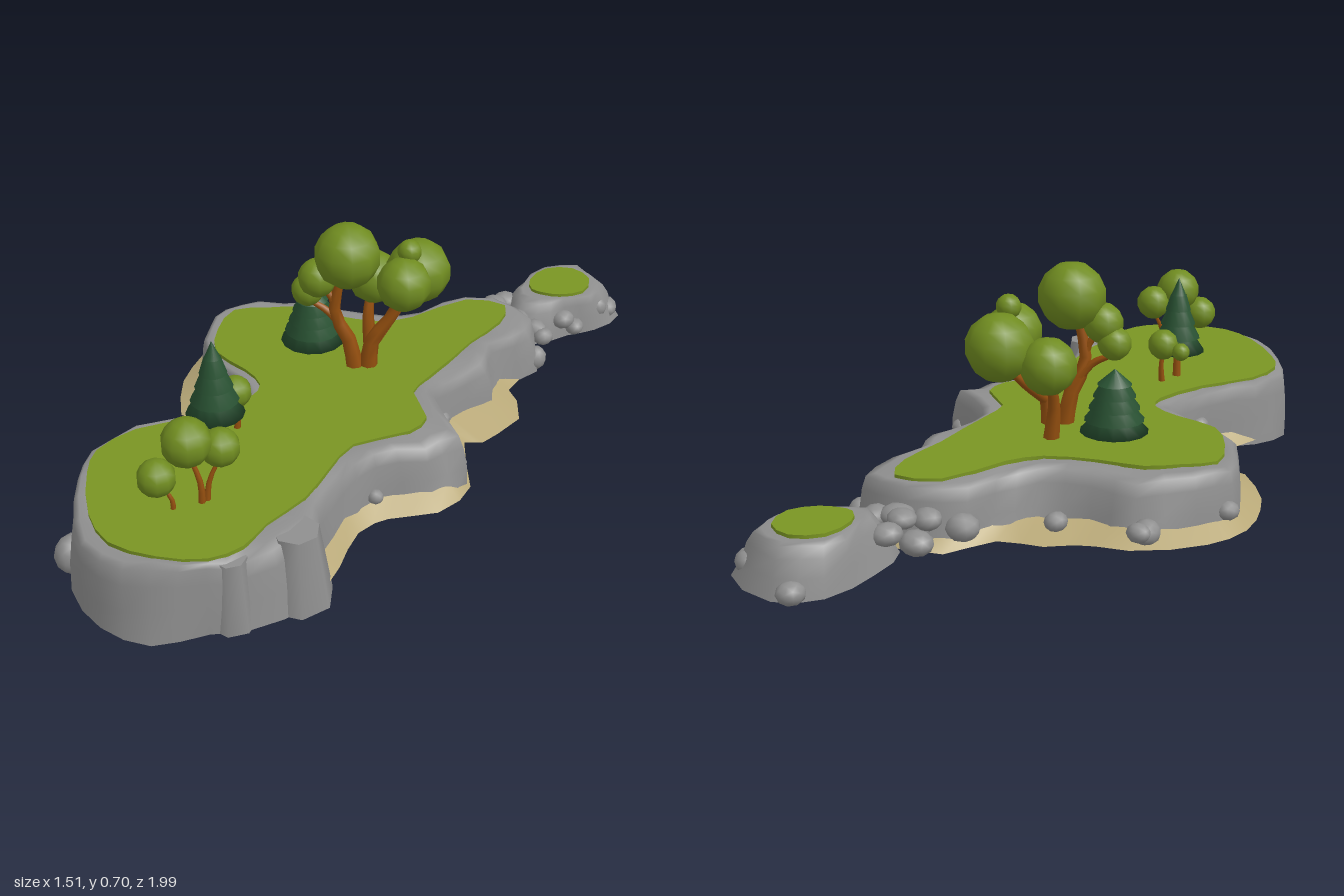
import * as THREE from 'three';

const mat = (name, color, side = THREE.FrontSide) => {
  const m = new THREE.MeshStandardMaterial({ color, side });
  m.name = name;
  return m;
};

// Station rows: grass edge x, z and rock foot x, z, clockwise from above
const MAIN = [
  [-.50, -.37, -.55, -.41], [-.40, -.40, -.45, -.48], [-.30, -.42, -.27, -.54], [-.18, -.385, -.155, -.47],
  [-.02, -.365, -.01, -.475], [.08, -.41, .11, -.53], [.24, -.55, .23, -.62], [.37, -.53, .44, -.56],
  [.36, -.42, .49, -.42], [.28, -.28, .38, -.31], [.23, -.17, .36, -.18], [.17, -.05, .25, -.06],
  [.135, .04, .225, .04], [.19, .17, .32, .24], [.15, .25, .23, .33], [0, .34, .08, .375],
  [-.05, .475, .01, .49], [-.09, .61, -.03, .65], [-.17, .74, -.04, .77], [-.21, .84, -.19, .90],
  [-.29, .905, -.29, .93], [-.42, .915, -.43, .995], [-.56, .875, -.58, .945], [-.645, .765, -.70, .81],
  [-.705, .58, -.74, .61], [-.71, .475, -.745, .43], [-.63, .355, -.645, .295], [-.47, .265, -.50, .23],
  [-.34, .14, -.39, .13], [-.325, .065, -.39, .055], [-.39, -.015, -.47, -.015], [-.50, -.105, -.56, -.13],
  [-.525, -.24, -.575, -.28],
];
// How far the beach reaches past the rock foot at each station
const BEACH = [.04, .06, .05, .10, .11, .03, .03, 0, -.02, .03, .10, .12, .07, .01, .05, .06, .03, .04, 0,
  -.03, -.03, -.03, -.03, -.03, -.03, -.03, 0, .05, .04, .05, .07, .07, .055];
const ISLET = [
  [.49, -.86, .48, -.94], [.58, -.875, .61, -.965], [.64, -.81, .75, -.82], [.62, -.72, .67, -.71],
  [.545, -.685, .58, -.66], [.49, -.69, .46, -.58], [.45, -.71, .34, -.645], [.44, -.775, .38, -.79],
];

const loop = pts => {
  const curve = new THREE.CatmullRomCurve3(pts, true);
  const n = pts.length * 2;
  return Array.from({ length: n }, (_, i) => curve.getPoint(i / n));
};
const edges = st => [
  loop(st.map(s => new THREE.Vector3(s[0], 0, s[1]))),
  loop(st.map(s => new THREE.Vector3(s[2], 0, s[3]))),
];

// Skin over closed rings, listed from the foot upwards
function skin(rings) {
  const n = rings[0].length, pos = [], idx = [];
  rings.forEach(r => r.forEach(p => pos.push(p.x, p.y, p.z)));
  for (let j = 0; j < rings.length - 1; j++) for (let i = 0; i < n; i++) {
    const k = (i + 1) % n, a = j * n + i, b = j * n + k, c = a + n, d = b + n;
    idx.push(a, c, b, b, c, d);
  }
  const g = new THREE.BufferGeometry();
  g.setAttribute('position', new THREE.Float32BufferAttribute(pos, 3));
  g.setIndex(idx);
  g.computeVertexNormals();
  return g;
}

export function createModel() {
  const root = new THREE.Group();
  const M = {
    grass: mat('grass green', 0x7a9523, THREE.DoubleSide),
    leaf: mat('leaf green', 0x708c20),
    pine: mat('pine green', 0x2a5434, THREE.DoubleSide),
    rock: mat('rock grey', 0x8f8f8f, THREE.DoubleSide),
    sand: mat('sand', 0xb8a878, THREE.DoubleSide),
    bark: mat('bark brown', 0x96500f),
  };
  const add = (name, geo, m, parent = root) => {
    const mesh = new THREE.Mesh(geo, m);
    mesh.name = name;
    parent.add(mesh);
    return mesh;
  };

  // Craggy rock bank with a grass lid, open underneath; rim is where the bank turns over
  function island(name, stations, rim, top, foot) {
    const [g, r] = edges(stations);
    const ring = (t, h) => g.map((p, i) => {
      const uneven = t > .3 && t < 1;
      const v = p.clone().lerp(r[i], t + (uneven ? .07 * Math.sin(i * 1.3) + .08 * Math.sin(i * 2.9 + h * 2) : 0));
      v.y = THREE.MathUtils.lerp(foot(v), top(v), h + (uneven ? .04 * Math.sin(i * 1.1) : 0));
      return v;
    });
    add(name + 'Rock', skin([
      ring(1, 0), ring((rim + 2) / 3, .4), ring((2 * rim + 1) / 3, .74), ring(rim, .95), ring(rim * .6, 1), ring(-.12, 1),
    ]), M.rock);
    const lid = new THREE.ShapeGeometry(new THREE.Shape(g.map(p => new THREE.Vector2(p.x, -p.z))));
    lid.rotateX(-Math.PI / 2);
    const a = lid.attributes.position;
    for (let i = 0; i < a.count; i++) a.setY(i, top({ z: a.getZ(i) }) + .01);
    lid.computeVertexNormals();
    add(name + 'Grass', lid, M.grass);
    const lip = dy => g.map(p => p.clone().setY(top(p) + dy));
    add(name + 'GrassLip', skin([lip(-.015), lip(.01)]), M.grass);
  }
  const top = p => .21 + .015 * p.z;
  island('main', MAIN, .64, top, p => .035 * (1 - THREE.MathUtils.smoothstep(p.z - Math.max(0, p.x), .1, .55)));
  island('islet', ISLET, .42, () => .17, () => .037);

  // Beach skirt, closed up where the cliff meets the water
  const [g, r] = edges(MAIN);
  const reach = loop(BEACH.map(b => new THREE.Vector3(b, 0, 0)));
  const out = r.map((p, i) => {
    const n = r.length, t = r[(i + 1) % n].clone().sub(r[(i + n - 1) % n]).normalize();
    return new THREE.Vector3(p.x + t.z * reach[i].x, .036, p.z - t.x * reach[i].x);
  });
  const inner = r.map((p, i) => reach[i].x > 0 ? p.clone().lerp(g[i], .2).setY(.075) : out[i].clone());
  add('beach', skin([out, inner]), M.sand);

  // Boulders: x, y, z, radius, height factor
  const boulders = [
    [-.53, .09, -.42, .035, .8], [-.31, .07, -.54, .045, .8], [-.29, .08, -.57, .035, .8], [-.065, .08, -.51, .035, .8],
    [.21, .08, -.04, .035, .8], [.28, .09, .2, .035, .8], [-.06, .09, .53, .03, .8], [.07, .085, .39, .025, .9],
    [-.71, .07, .74, .055, 1.1], [-.46, .11, .22, .035, .8],
    [.56, .06, -.96, .04, .8], [.70, .075, -.81, .045, .8], [.67, .1, -.76, .035, 1], [.48, .07, -.45, .04, 1],
  ];
  // Causeway stones between the two islands
  boulders.push([.29, .08, -.68, .05, .7], [.36, .12, -.72, .045, .7], [.27, .12, -.61, .045, .7], [.35, .13, -.61, .05, .6],
    [.41, .12, -.6, .045, .7], [.47, .09, -.6, .04, .8], [.5, .08, -.57, .035, .8], [.33, .14, -.66, .045, .6],
    [.56, .1, -.66, .04, .8], [.6, .07, -.67, .035, .8], [.18, .09, -.59, .05, .8], [.41, .08, -.67, .06, .8]);
  boulders.forEach(([x, y, z, rad, h], i) => {
    const b = add('boulder', new THREE.IcosahedronGeometry(rad, 1), M.rock);
    b.position.set(x, y, z);
    b.scale.set(1, h, .9);
    b.rotation.y = i * 1.3;
  });

  // Buttresses leaning on the front cliff: x, z, foot radius, top radius, height, turn
  [[-.09, .745, .1, .065, .225, .3], [-.24, .87, .065, .045, .215, .9]].forEach(([x, z, r0, r1, h, turn]) => {
    const b = add('buttress', new THREE.CylinderGeometry(r1, r0, h, 7), M.rock);
    b.position.set(x, h / 2, z);
    b.rotation.y = turn;
  });

  // Tapered bent limb
  function limb(pts, rad, parent) {
    const curve = new THREE.CatmullRomCurve3(pts.map(p => new THREE.Vector3(...p)));
    const geo = new THREE.TubeGeometry(curve, 6, rad, 7), a = geo.attributes.position, v = new THREE.Vector3();
    for (let i = 0; i < a.count; i++) {
      const t = Math.floor(i / 8) / 6, c = curve.getPointAt(t);
      v.fromBufferAttribute(a, i).sub(c).multiplyScalar(1.25 - .65 * t).add(c);
      a.setXYZ(i, v.x, v.y, v.z);
    }
    add('trunk', geo, M.bark, parent);
  }
  function tree(name, limbs, crowns) {
    const t = new THREE.Group();
    t.name = name;
    root.add(t);
    limbs.forEach(([rad, ...pts]) => limb(pts, rad, t));
    crowns.forEach(([x, y, z, rad]) => add('foliage', new THREE.SphereGeometry(rad, 10, 7), M.leaf, t).position.set(x, y, z));
  }
  tree('tallTree', [
    [.022, [-.06, .2, -.09], [-.08, .31, -.09], [-.12, .4, -.08], [-.10, .53, -.08]],
    [.013, [-.09, .34, -.09], [-.14, .4, -.09], [-.2, .43, -.1]],
    [.013, [-.115, .4, -.08], [-.13, .46, -.08], [-.17, .5, -.08]],
  ], [[-.08, .60, -.08, .1], [-.17, .52, -.08, .06], [-.205, .465, -.1, .05]]);
  tree('wideTree', [
    [.023, [-.02, .2, -.1], [-.01, .3, -.1], [.05, .39, -.11], [.08, .47, -.11]],
    [.02, [-.03, .2, -.22], [-.04, .32, -.23], [-.03, .41, -.26]],
    [.015, [-.01, .29, -.1], [.05, .36, -.17], [.11, .44, -.22]],
  ], [[.085, .5, -.11, .083], [.115, .485, -.23, .1], [.095, .585, -.16, .037], [-.025, .44, -.255, .083]]);
  tree('frontTree', [
    [.009, [-.36, .2, .67], [-.36, .29, .67], [-.39, .39, .67]],
    [.008, [-.35, .2, .66], [-.34, .29, .65], [-.31, .36, .635]],
    [.007, [-.43, .2, .71], [-.43, .26, .71], [-.46, .31, .715]],
  ], [[-.39, .425, .675, .07], [-.31, .39, .635, .055], [-.465, .335, .72, .054]]);
  tree('smallTree', [[.009, [-.345, .2, .305], [-.34, .27, .3], [-.345, .33, .3]]],
    [[-.345, .345, .3, .048], [-.4, .33, .27, .028]]);

  // Conifers: stacked skirts turned as one profile, narrowing to the crown width
  function conifer(x, z, low, high, rad, crown) {
    const t = new THREE.Group();
    t.name = 'conifer';
    t.position.set(x, 0, z);
    root.add(t);
    const tiers = 5, step = (high - low) / (tiers + .3), profile = [[.01, low + .02]];
    for (let i = 0; i < tiers; i++) {
      const w = THREE.MathUtils.lerp(rad, crown, i / (tiers - 1));
      profile.push([w, low + i * step], [w * .62, low + (i + 1) * step + .004]);
    }
    profile[profile.length - 1] = [0, high];
    add('needles', new THREE.LatheGeometry(profile.map(p => new THREE.Vector2(...p)), 14), M.pine, t);
    add('trunk', new THREE.CylinderGeometry(.01, .014, low - .17, 7), M.bark, t).position.y = (low + .23) / 2;
  }
  conifer(-.21, -.2, .235, .42, .1, .05);
  conifer(-.39, .36, .31, .545, .085, .025);
  return root;
}
